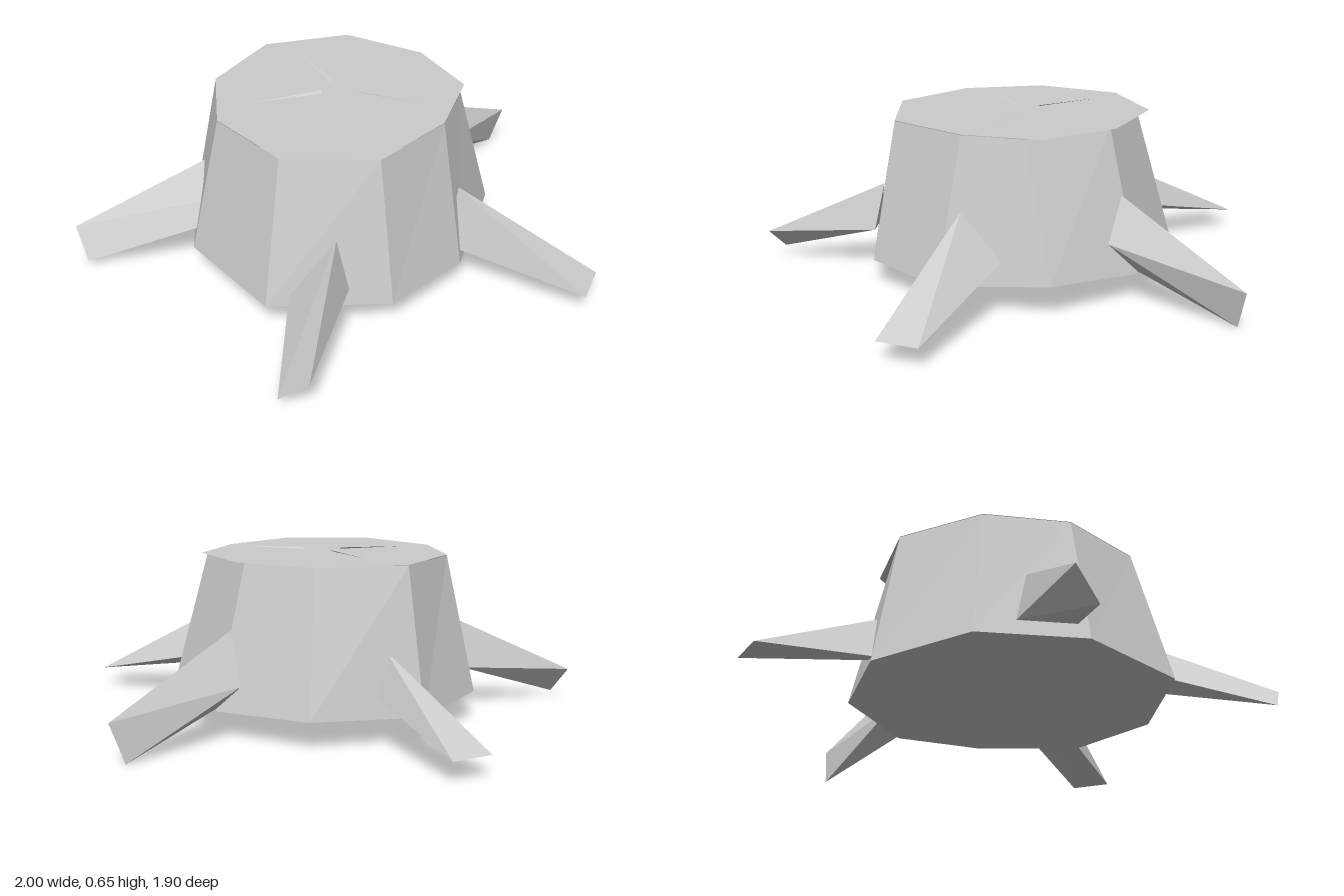
import * as THREE from 'three';
import { ConvexGeometry } from 'three/addons/geometries/ConvexGeometry.js';

const wood = new THREE.MeshStandardMaterial({ color: 0xcccccc, side: THREE.DoubleSide });
wood.name = 'paleWood';

// Outlines as [x, z], starting at the back and running past the left side
const TOP = 0.64;
const capOutline = [[0, -0.37], [0.30, -0.27], [0.43, 0.01], [0.43, 0.35], [0.17, 0.58],
  [-0.18, 0.55], [-0.43, 0.34], [-0.51, 0], [-0.33, -0.29]];
const rim = [[-0.01, -0.335], [0.33, -0.21], [0.43, 0.01], [0.43, 0.35], [0.17, 0.58],
  [-0.18, 0.55], [-0.43, 0.34], [-0.51, 0], [-0.29, -0.26]].map(([x, z]) => [x, TOP, z]);
const foot = [[0, 0.10, -0.48], [0.37, 0.13, -0.36], [0.55, 0.09, 0.03], [0.53, 0.10, 0.39],
  [0.21, 0.10, 0.71], [-0.24, 0.11, 0.66], [-0.54, 0.11, 0.39], [-0.61, 0.10, -0.02], [-0.38, 0.11, -0.38]];

// Flat-shaded geometry from a list of triangles
function facets(triangles) {
  const g = new THREE.BufferGeometry();
  g.setAttribute('position', new THREE.Float32BufferAttribute(triangles.flat(2), 3));
  g.computeVertexNormals();
  return g;
}

// Triangles joining a loop to a centre point
const fan = (loop, centre) => loop.map((p, i) => [centre, p, loop[(i + 1) % loop.length]]);

function add(group, name, geometry) {
  const mesh = new THREE.Mesh(geometry, wood);
  mesh.name = name;
  group.add(mesh);
}

export function createModel() {
  const group = new THREE.Group();
  group.name = 'treeStump';

  // Trunk walls and underside
  const walls = rim.flatMap((a, i) => {
    const j = (i + 1) % rim.length;
    return [[a, rim[j], foot[j]], [a, foot[j], foot[i]]];
  });
  add(group, 'trunk', facets([...walls, ...fan(foot, [0, 0.105, 0.1])]));

  // Cut surface, slightly overhanging the trunk at the back
  const cap = capOutline.map(([x, z]) => [x, TOP + 0.002, z]).reverse();
  add(group, 'cutSurface', facets(fan(cap, [0, TOP + 0.002, 0.1])));

  // Thin cracks: wide inner end to pointed outer end
  const cracks = [[-0.08, 0.065, -0.33, -0.02], [0.06, 0.06, 0.30, -0.04], [-0.045, 0.155, -0.17, 0.38]];
  for (const [x0, z0, x1, z1] of cracks) {
    const length = Math.hypot(x1 - x0, z1 - z0);
    const nx = -(z1 - z0) / length * 0.008, nz = (x1 - x0) / length * 0.008;
    add(group, 'crack', facets([[[x0 + nx, 0.655, z0 + nz], [x1, 0.65, z1], [x0 - nx, 0.648, z0 - nz]]]));
  }

  // Roots: base points buried in the trunk, then the two ends of the chisel tip
  const roots = {
    backRoot: [[0, 0.40, -0.38], [-0.09, 0.2, -0.44], [0.10, 0.23, -0.41], [0, 0.12, -0.44],
      [0.02, 0.15, -0.95], [-0.01, 0, -0.905]],
    leftRoot: [[0.48, 0.37, -0.03], [0.47, 0.14, 0.03], [0.43, 0.2, -0.18],
      [1, 0.08, -0.13], [0.95, 0.08, -0.28]],
    rightRoot: [[-0.48, 0.34, -0.09], [-0.5, 0.13, 0.02], [-0.43, 0.2, -0.14],
      [-1, 0.08, -0.17], [-0.95, 0.08, -0.32]],
    frontLeftRoot: [[0.36, 0.35, 0.5], [0.26, 0.14, 0.64], [0.42, 0.17, 0.5],
      [0.63, 0.13, 0.91], [0.52, 0.03, 0.95]],
    frontRightRoot: [[-0.36, 0.37, 0.48], [-0.28, 0.26, 0.57], [-0.26, 0.17, 0.62], [-0.42, 0.17, 0.48],
      [-0.66, 0.13, 0.90], [-0.57, 0.02, 0.92]],
  };
  for (const [name, points] of Object.entries(roots)) {
    add(group, name, new ConvexGeometry(points.map((p) => new THREE.Vector3(...p))));
  }
  return group;
}
